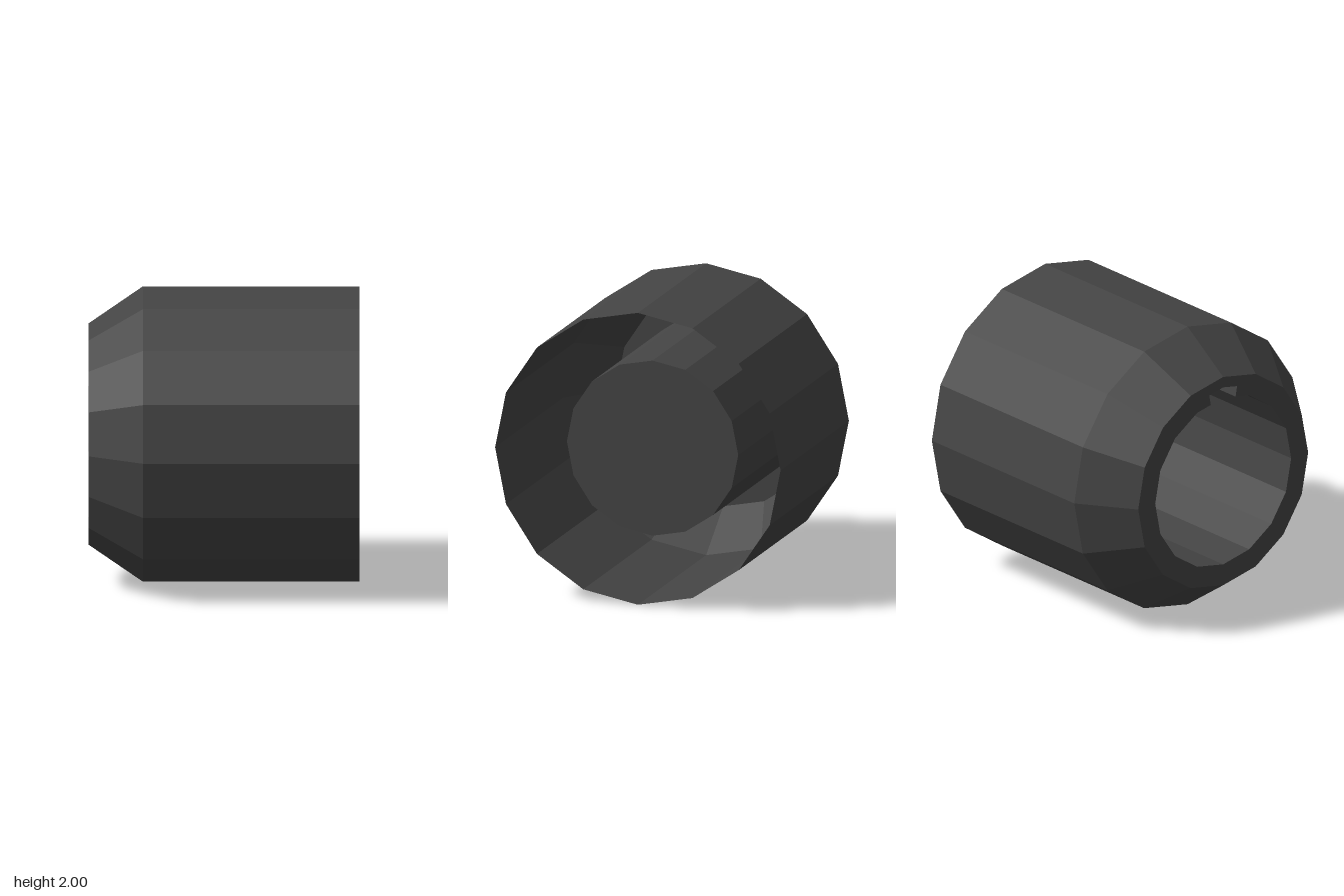
import * as THREE from 'three';

const SIDES = 16;
const STEP = 360 / SIDES;
const material = new THREE.MeshStandardMaterial({
  color: 0x444444, flatShading: true, side: THREE.DoubleSide,
});

// Point on a 16-sided ring around the x axis; angle in degrees from the top towards the back
function ringPoint([x, r], angle) {
  const offset = angle - STEP * (Math.floor(angle / STEP) + 0.5);
  const rad = THREE.MathUtils.degToRad;
  const d = r * Math.cos(rad(STEP / 2)) / Math.cos(rad(offset));
  return [x, 1 + d * Math.cos(rad(angle)), -d * Math.sin(rad(angle))];
}

// Angles from a to b, stopping at every corner of the ring between them
function stops(a, b) {
  const list = [a];
  for (let k = Math.floor(a / STEP + 1e-6) + 1; k * STEP < b - 1e-6; k++) list.push(k * STEP);
  return [...list, b];
}

// Sweep a profile of [x, radius] points from angle a to angle b
function sweep(out, a, b, profile) {
  const angles = stops(a, b);
  for (let i = 0; i < angles.length - 1; i++) {
    for (let j = 0; j < profile.length - 1; j++) {
      const p = ringPoint(profile[j], angles[i]), q = ringPoint(profile[j], angles[i + 1]);
      const s = ringPoint(profile[j + 1], angles[i + 1]), t = ringPoint(profile[j + 1], angles[i]);
      out.push(...p, ...q, ...s, ...p, ...s, ...t);
    }
  }
}

// Flat radial wall closing the end of a slot
function wall(out, angle, x0, x1, r0, r1) {
  const [p, q, s, t] = [[x0, r0], [x1, r0], [x1, r1], [x0, r1]].map((c) => ringPoint(c, angle));
  out.push(...p, ...q, ...s, ...p, ...s, ...t);
}

function part(name, fill) {
  const positions = [];
  fill(positions);
  const geometry = new THREE.BufferGeometry();
  geometry.setAttribute('position', new THREE.Float32BufferAttribute(positions, 3));
  geometry.computeVertexNormals();
  const mesh = new THREE.Mesh(geometry, material);
  mesh.name = name;
  return mesh;
}

export function createModel() {
  const group = new THREE.Group();
  group.name = 'socketCap';

  const mouth = -0.9, floor = 0.59, bore = 0.6, slot = 0.675;
  const slotNear = -0.7, slotFar = -0.55;  // slot depth along the bore
  const e = 10.7, slotEnd = 45;            // entry half-angle, end of the turn

  // Open sleeve with a tapered end
  group.add(part('outerSleeve', (o) => sweep(o, 0, 360, [[0.9, 1], [-0.54, 1], [mouth, 0.75]])));

  // Flat rim around the mouth, cut by the slot entry
  group.add(part('mouthRim', (o) => {
    sweep(o, e, 360 - e, [[mouth, 0.75], [mouth, bore]]);
    sweep(o, -e, e, [[mouth, 0.75], [mouth, slot]]);
  }));

  // Inner bore
  group.add(part('innerBore', (o) => sweep(o, slotEnd, 360 - e, [[mouth, bore], [floor, bore]])));

  // L-shaped locking slot: an entry at the top, then a turn towards the back
  group.add(part('lockingSlot', (o) => {
    const tail = [[slotFar, slot], [slotFar, bore], [floor, bore]];
    sweep(o, -e, e, [[mouth, slot], ...tail]);
    sweep(o, e, slotEnd, [[mouth, bore], [slotNear, bore], [slotNear, slot], ...tail]);
    wall(o, -e, mouth, slotFar, bore, slot);
    wall(o, e, mouth, slotNear, bore, slot);
    wall(o, slotEnd, slotNear, slotFar, bore, slot);
  }));

  // Disc closing the bore
  const disc = new THREE.Mesh(new THREE.CircleGeometry(bore, SIDES), material);
  disc.name = 'boreEnd';
  disc.rotation.y = Math.PI / 2;
  disc.position.set(floor, 1, 0);
  group.add(disc);

  return group;
}
